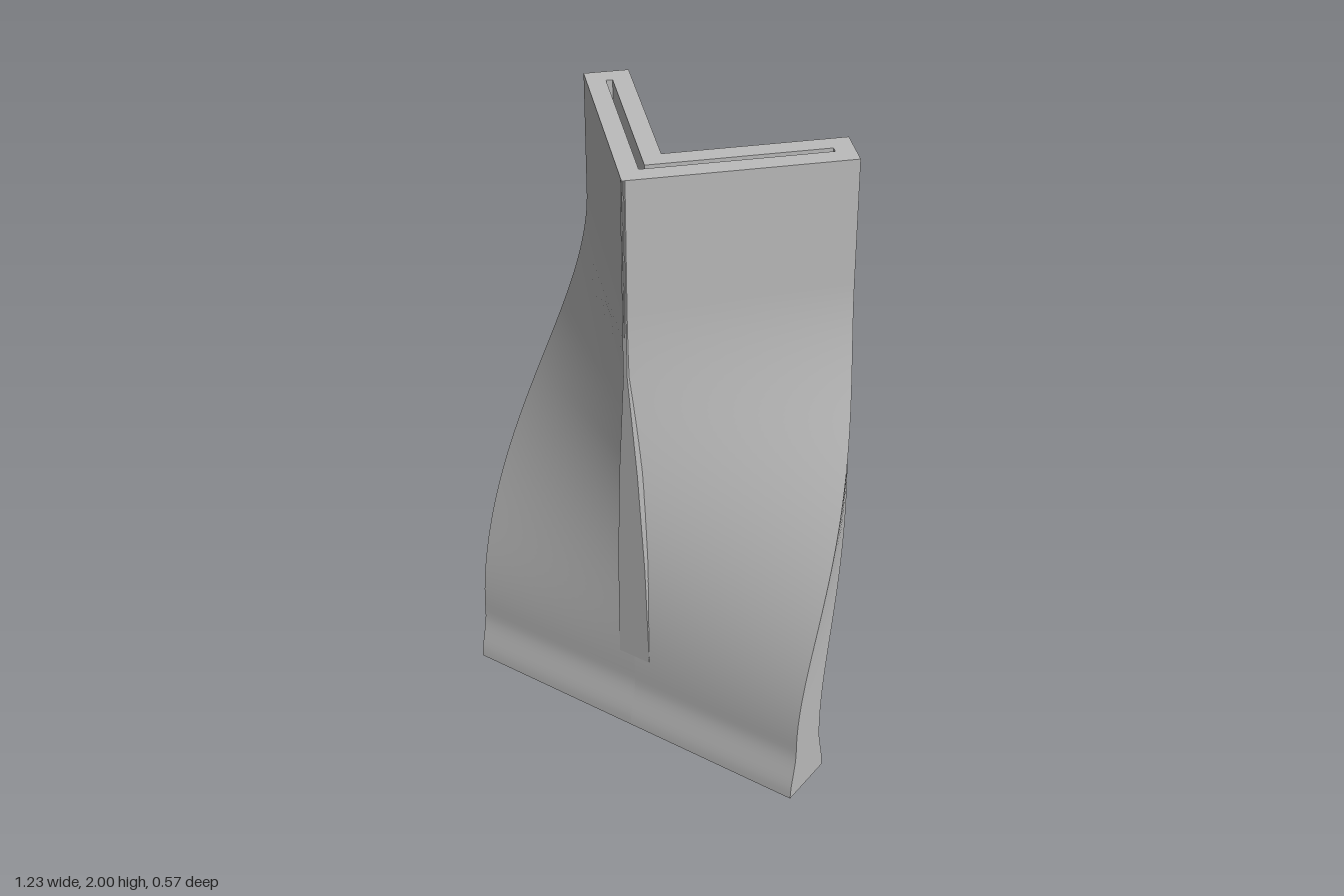
import * as THREE from 'three';

const HEIGHT = 2, ROWS = 90, PIVOT = 0.19;
const step = (a, b, y) => THREE.MathUtils.smoothstep(y, a, b);
const foldAngle = y => step(0.2, 1.6, y) * Math.PI / 4;
const wallHalf = y => 0.068 + 0.027 * (1 - step(0, 0.17, y));
const slotHalf = y => 0.01 + 0.035 * (1 - step(0, 0.3, y));

// V-shaped section at height y: front left, front middle, front right, then the back
function section(y, half, length) {
  const t = foldAngle(y), c = Math.cos(t), s = Math.sin(t);
  const ex = length * c, ez = PIVOT - length * s, m = half / c;
  return [
    [-ex - half * s, ez + half * c], [0, PIVOT + m], [ex + half * s, ez + half * c],
    [ex - half * s, ez - half * c], [0, PIVOT - m], [-ex + half * s, ez - half * c],
  ].map(([x, z]) => new THREE.Vector3(x, y, z));
}
const outer = y => section(y, wallHalf(y), 0.609);
const inner = y => section(y, slotHalf(y), 0.55);

// One smooth wall strip per section side, so that the corners stay sharp
function wall(name, profile, rows, a, b, material) {
  const points = [], index = [];
  rows.forEach((y, i) => {
    const p = profile(y);
    points.push(p[a], p[b]);
    if (i) {
      const k = 2 * i - 2;
      index.push(k, k + 1, k + 3, k, k + 3, k + 2);
    }
  });
  const geometry = new THREE.BufferGeometry().setFromPoints(points);
  geometry.setIndex(index);
  geometry.computeVertexNormals();
  const mesh = new THREE.Mesh(geometry, material);
  mesh.name = name;
  return mesh;
}

// Flat rim between the outer wall and the slot
function rim(name, y, up, material) {
  const o = outer(y), n = inner(y), points = [];
  for (let i = 0; i < 6; i++) {
    const j = (i + 1) % 6;
    const tri = [o[i], o[j], n[j], o[i], n[j], n[i]];
    points.push(...(up ? tri : tri.reverse()));
  }
  const geometry = new THREE.BufferGeometry().setFromPoints(points);
  geometry.computeVertexNormals();
  const mesh = new THREE.Mesh(geometry, material);
  mesh.name = name;
  return mesh;
}

// Tapered rib over the front fold: half width by height
const ribWidth = [[0.27, 0.057], [0.65, 0.05], [1, 0.033], [1.35, 0.007], [2, 0.007]];
function ribSection(y) {
  let k = 0;
  while (k < ribWidth.length - 2 && y > ribWidth[k + 1][0]) k++;
  const [y0, w0] = ribWidth[k], [y1, w1] = ribWidth[k + 1];
  const w = THREE.MathUtils.mapLinear(y, y0, y1, w0, w1);
  const front = THREE.MathUtils.lerp(0.258, 0.284, Math.min(1, (y - 0.27) / 1.1));
  const back = front - 0.03;
  return [[-w, back], [-w, front], [w, front], [w, back]]
    .map(([x, z]) => new THREE.Vector3(x, y, z));
}

export function createModel() {
  const model = new THREE.Group();
  model.name = 'foldedDuct';
  const grey = new THREE.MeshStandardMaterial({ color: 0xbbbbbb });
  grey.name = 'grey';
  const rows = Array.from({ length: ROWS + 1 }, (_, i) => HEIGHT * i / ROWS);

  const shell = new THREE.Group(), slot = new THREE.Group(), rib = new THREE.Group();
  shell.name = 'shell';
  slot.name = 'slot';
  rib.name = 'frontRib';
  for (let i = 0; i < 6; i++) {
    const j = (i + 1) % 6;
    shell.add(wall('outerWall', outer, rows, i, j, grey));
    slot.add(wall('slotWall', inner, rows, j, i, grey));
  }
  shell.add(rim('topRim', HEIGHT, true, grey), rim('bottomRim', 0, false, grey));

  const ribRows = Array.from({ length: 41 }, (_, i) => 0.27 + (HEIGHT - 0.27) * i / 40);
  for (let i = 0; i < 3; i++) rib.add(wall('ribFace', ribSection, ribRows, i, i + 1, grey));

  model.add(shell, slot, rib);
  return model;
}
